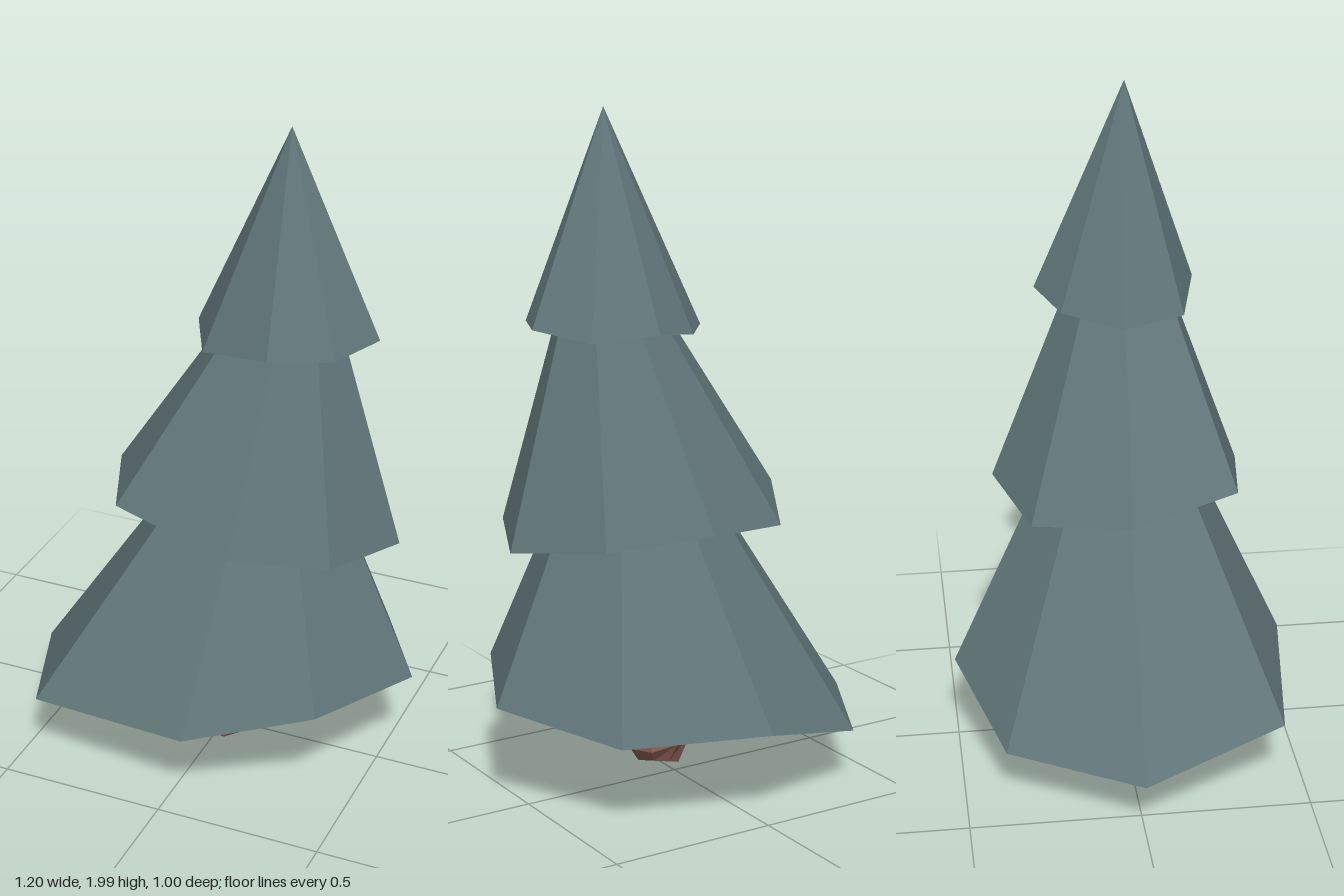
import * as THREE from 'three';

// Flat-faced shell through closed rings of [x, y, z] points, listed bottom to top.
// A ring with one point closes the shell to a tip. Rings run clockwise seen from above.
function loft(rings) {
  const n = Math.max(...rings.map((r) => r.length));
  const at = (r, i) => r[r.length === 1 ? 0 : i % n];
  const pos = [];
  for (let k = 0; k < rings.length - 1; k++) {
    const lo = rings[k], hi = rings[k + 1];
    for (let i = 0; i < n; i++) {
      if (lo.length > 1) pos.push(...at(lo, i + 1), ...at(lo, i), ...at(hi, i));
      if (hi.length > 1) pos.push(...at(lo, i + 1), ...at(hi, i), ...at(hi, i + 1));
    }
  }
  const g = new THREE.BufferGeometry();
  g.setAttribute('position', new THREE.Float32BufferAttribute(pos, 3));
  g.computeVertexNormals();
  return g;
}

const centre = (ring) => [0, 1, 2].map((c) => ring.reduce((s, p) => s + p[c], 0) / ring.length);

// Tilted eight-sided ring; tiltX and tiltZ are the slopes of its plane
function tiltedRing(cx, cy, cz, r, tiltX, tiltZ) {
  return Array.from({ length: 8 }, (_, i) => {
    const a = Math.PI + (i * Math.PI) / 4;
    const dx = r * Math.cos(a), dz = r * Math.sin(a);
    return [cx + dx, cy + tiltX * dx + tiltZ * dz, cz + dz];
  });
}

// Each tier: uneven hem corners (left edge, round the back, right edge, front) and a leaning tip
const TIERS = [
  {
    name: 'lowerBranches', tip: [0.17, 1.32, 0.015],
    hem: [[-0.6, 0.17, 0], [-0.385, 0.175, -0.38], [-0.01, 0.275, -0.505], [0.4, 0.27, -0.365],
      [0.6, 0.32, -0.005], [0.43, 0.352, 0.355], [0.075, 0.27, 0.5], [-0.43, 0.235, 0.43]],
  },
  {
    name: 'middleBranches', tip: [0.26, 1.77, 0.03],
    hem: [[-0.34, 0.865, -0.005], [-0.185, 0.81, -0.28], [0.1, 0.84, -0.37], [0.385, 0.808, -0.26],
      [0.545, 0.77, 0], [0.43, 0.797, 0.26], [0.165, 0.82, 0.37], [-0.205, 0.89, 0.315]],
  },
  {
    name: 'topBranches', tip: [0.21, 2, 0.037],
    hem: [[-0.085, 1.365, -0.005], [0.04, 1.372, -0.165], [0.19, 1.395, -0.23], [0.365, 1.375, -0.155],
      [0.465, 1.4, 0], [0.395, 1.395, 0.165], [0.225, 1.395, 0.24], [0.01, 1.36, 0.185]],
  },
];

export function createModel() {
  const foliage = new THREE.MeshStandardMaterial({ color: 0x62777a });
  foliage.name = 'spruceGreen';
  const bark = new THREE.MeshStandardMaterial({ color: 0x8e6056 });
  bark.name = 'barkBrown';

  const tree = new THREE.Group();
  tree.name = 'tree';
  const add = (name, rings, material) => {
    const mesh = new THREE.Mesh(loft(rings), material);
    mesh.name = name;
    tree.add(mesh);
  };

  // Branch tiers, closed underneath
  for (const { name, tip, hem } of TIERS) add(name, [[centre(hem)], hem, [tip]], foliage);

  // Trunk with a rough, bevelled foot
  const foot = tiltedRing(0.035, 0.03, 0.035, 0.062, 0.25, -0.3);
  const bulge = tiltedRing(0.028, 0.115, 0.04, 0.1, -0.3, 0.05);
  const upper = tiltedRing(0.043, 0.42, 0.04, 0.08, 0, 0);
  add('trunk', [[centre(foot)], foot, bulge, upper], bark);

  return tree;
}
